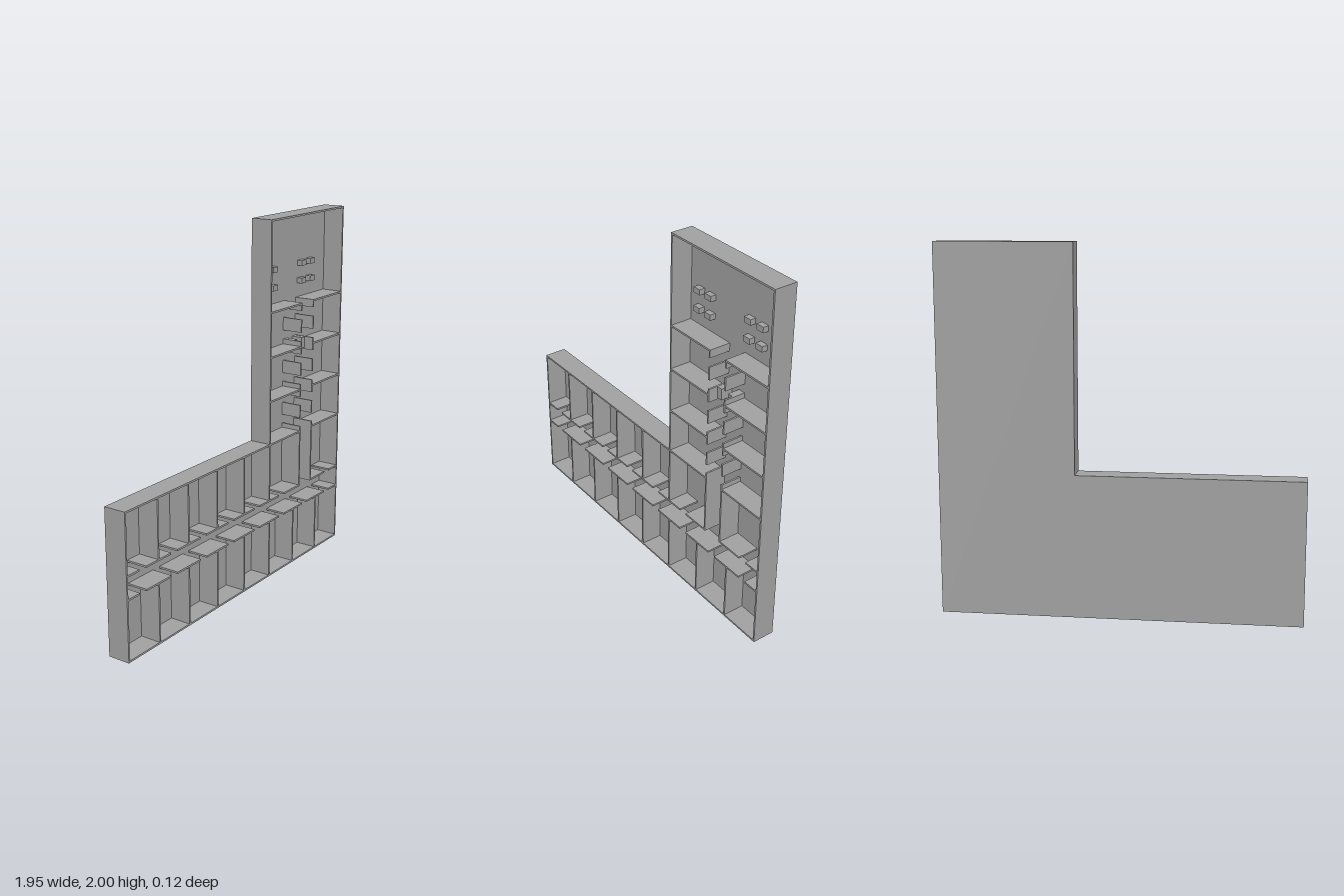
import * as THREE from 'three';

export function createModel() {
  const model = new THREE.Group();
  const grey = new THREE.MeshStandardMaterial({ color: 0xa0a0a0 });
  grey.name = 'plain grey';

  const BACK = -0.062, FRONT = 0.062, FLOOR = 0.006, T = 0.01;
  const W = 0.976, STEP_X = 0.24, STEP_Y = 0.783;

  // L-shaped outline, inset by d
  const outline = (d) => [
    [-W + d, d], [W - d, d], [W - d, 2 - d],
    [STEP_X + d, 2 - d], [STEP_X + d, STEP_Y - d], [-W + d, STEP_Y - d],
  ].map(([x, y]) => new THREE.Vector2(x, y));

  function extrude(name, shape, z0, z1) {
    const geo = new THREE.ExtrudeGeometry(shape, { depth: z1 - z0, bevelEnabled: false });
    geo.translate(0, 0, z0);
    const mesh = new THREE.Mesh(geo, grey);
    mesh.name = name;
    model.add(mesh);
  }

  // Box given by its extents
  function block(name, x0, x1, y0, y1, z1 = FRONT) {
    const z0 = BACK + FLOOR;
    const mesh = new THREE.Mesh(new THREE.BoxGeometry(x1 - x0, y1 - y0, z1 - z0), grey);
    mesh.position.set((x0 + x1) / 2, (y0 + y1) / 2, (z0 + z1) / 2);
    mesh.name = name;
    model.add(mesh);
  }
  const hWall = (name, y, x0, x1) => block(name, x0, x1, y - T / 2, y + T / 2);
  const vWall = (name, x, y0, y1) => block(name, x - T / 2, x + T / 2, y0, y1);

  // Wall interrupted by door openings
  function doorWall(wall, name, at, start, end, doors) {
    let from = start;
    for (const d of doors) {
      wall(name, at, from, d - 0.025);
      from = d + 0.025;
    }
    wall(name, at, from, end);
  }

  // Floor slab and outer walls
  extrude('floor', new THREE.Shape(outline(0)), BACK, BACK + FLOOR);
  const ring = new THREE.Shape(outline(0));
  ring.holes.push(new THREE.Path(outline(T)));
  extrude('outerWalls', ring, BACK + FLOOR, FRONT);

  // Long corridor
  const PITCH = 0.244, LOW = 0.33, HIGH = 0.453, INNER = W - T;
  const HALL_L = 0.549, HALL_R = 0.671;
  const doors = Array.from({ length: 8 }, (_, i) => (i - 3.5) * PITCH);
  doorWall(hWall, 'lowerCorridorWall', LOW, -INNER, INNER, doors);
  doorWall(hWall, 'upperCorridorWall', HIGH, -INNER, HALL_L + T / 2, doors.slice(0, 6));
  doorWall(hWall, 'upperCorridorWall', HIGH, HALL_R - T / 2, INNER, doors.slice(7));

  // Room dividers on both sides of the long corridor
  for (let i = -3; i <= 3; i++) {
    vWall('lowerDivider', i * PITCH, T, LOW - T / 2);
    if (i <= 1) vWall('upperDivider', i * PITCH, HIGH + T / 2, STEP_Y - T);
  }

  // Wing hallway with two doors to each room
  const wingDoors = Array.from({ length: 6 }, (_, i) => 0.834 + i * 0.1225);
  for (const x of [HALL_L, HALL_R]) {
    doorWall(vWall, 'wingHallWall', x, HIGH + T / 2, 1.515, wingDoors);
  }

  // Wing room dividers
  for (let i = 0; i < 4; i++) {
    const y = 0.778 + i * PITCH;
    hWall('wingDivider', y, STEP_X + T, HALL_L - T / 2);
    hWall('wingDivider', y, HALL_R + T / 2, INNER);
  }

  // Hall cabinets
  block('hallCabinet', HALL_L + T / 2, 0.585, 1.235, 1.298, 0.01);
  block('hallCabinet', 0.635, HALL_R - T / 2, 1.235, 1.298, 0.01);

  // Tables in the large end room
  for (const x of [0.331, 0.416, 0.705, 0.794]) {
    for (const y of [1.608, 1.707]) {
      block('table', x - 0.023, x + 0.023, y - 0.015, y + 0.015, -0.025);
    }
  }
  return model;
}
